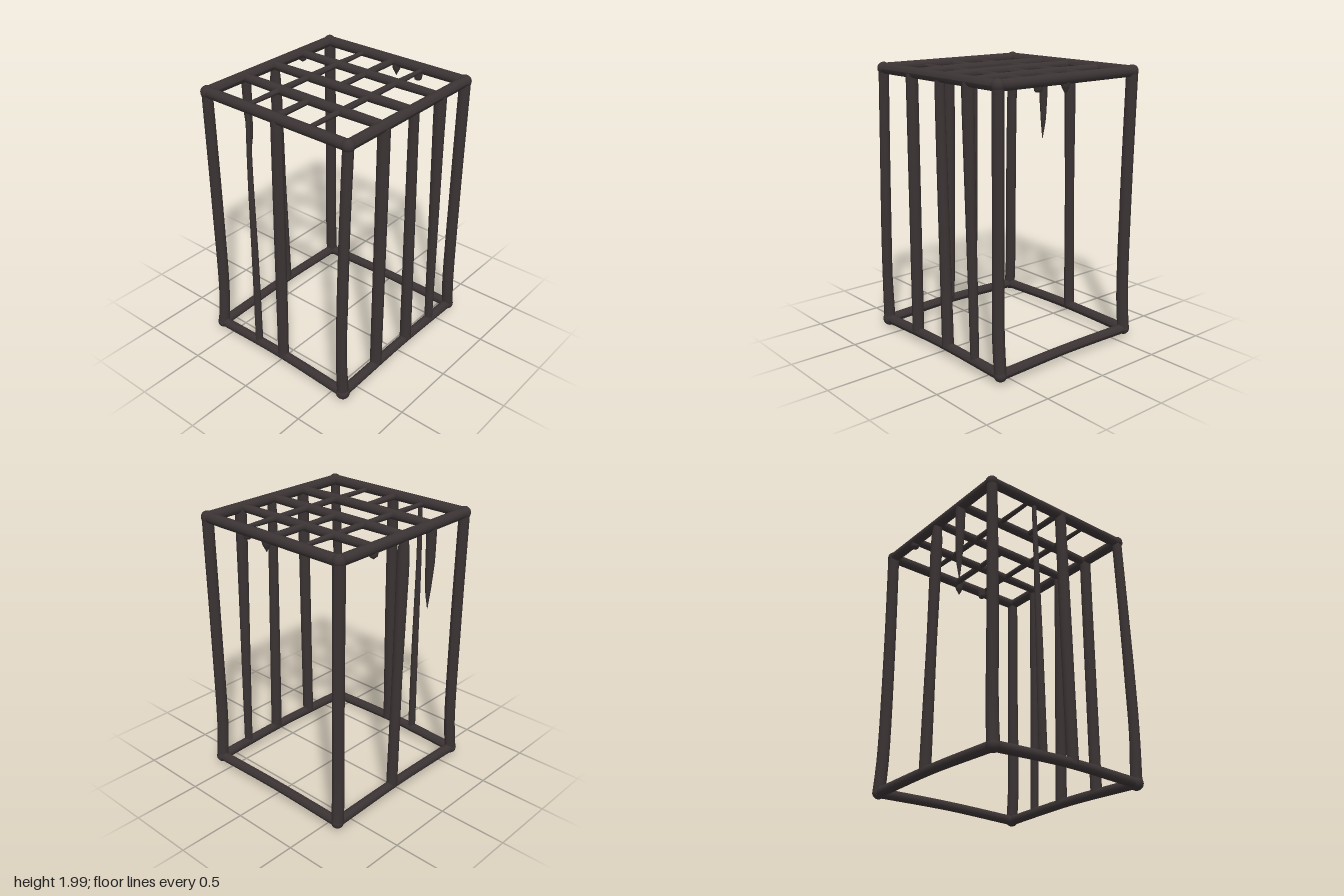
import * as THREE from 'three';

const darkIron = new THREE.MeshStandardMaterial({ color: 0x3b3334 });
darkIron.name = 'darkIron';

// Round bar through [x, y, z, radius] stations, thickness blended between stations
function bar(name, stations, segments = 16, sides = 12) {
  const curve = new THREE.CatmullRomCurve3(stations.map(([x, y, z]) => new THREE.Vector3(x, y, z)));
  const geo = new THREE.TubeGeometry(curve, segments, 1, sides, false);
  const pos = geo.attributes.position;
  const centre = new THREE.Vector3();
  const v = new THREE.Vector3();
  for (let i = 0; i <= segments; i++) {
    curve.getPointAt(i / segments, centre);
    const t = curve.getUtoTmapping(i / segments) * (stations.length - 1);
    const k = Math.min(Math.floor(t), stations.length - 2);
    const radius = THREE.MathUtils.lerp(stations[k][3], stations[k + 1][3], t - k);
    for (let j = 0; j <= sides; j++) {
      const n = i * (sides + 1) + j;
      v.fromBufferAttribute(pos, n).sub(centre).multiplyScalar(radius).add(centre);
      pos.setXYZ(n, v.x, v.y, v.z);
    }
  }
  geo.computeVertexNormals();
  const mesh = new THREE.Mesh(geo, darkIron);
  mesh.name = name;
  return mesh;
}

function knob(name, [x, y, z], radius) {
  const mesh = new THREE.Mesh(new THREE.SphereGeometry(radius, 14, 10), darkIron);
  mesh.position.set(x, y, z);
  mesh.name = name;
  return mesh;
}

export function createModel() {
  const model = new THREE.Group();
  model.name = 'cage';
  const add = (...parts) => model.add(...parts);

  // Corners in order: front left of view, front right, back right, back left
  const top = [[-0.61, 1.955, 0.6], [0.635, 1.953, 0.6], [0.635, 1.953, -0.6], [-0.61, 1.955, -0.6]];
  const base = [[-0.648, 0.057, 0.6], [0.65, 0.067, 0.595], [0.645, 0.067, -0.595], [-0.635, 0.06, -0.595]];

  // Rails around the top and the base
  for (let i = 0; i < 4; i++) {
    const a = top[i], b = top[(i + 1) % 4], c = base[i], d = base[(i + 1) % 4];
    add(bar('topRail', [[...a, 0.038], [...b, 0.038]]));
    const mid = [(c[0] + d[0]) / 2, 0.077, (c[2] + d[2]) / 2, 0.034];
    add(bar('baseRail', [[...c, 0.036], mid, [...d, 0.036]]));
    add(knob('topCorner', a, 0.045), knob('baseCorner', c, i === 0 ? 0.05 : 0.045));
  }

  // Corner posts, one of them bowed outward
  add(bar('bowedPost', [[...top[0], 0.036], [-0.635, 1.4, 0.597, 0.036], [-0.655, 0.8, 0.597, 0.038],
    [-0.663, 0.4, 0.597, 0.037], [...base[0], 0.042]], 24));
  add(bar('cornerPost', [[...top[1], 0.04], [0.631, 1.1, 0.595, 0.04], [0.631, 0.3, 0.595, 0.042], [...base[1], 0.042]]));
  add(bar('cornerPost', [[...top[2], 0.042], [0.63, 1.1, -0.588, 0.042], [0.63, 0.3, -0.588, 0.043], [...base[2], 0.044]]));
  add(bar('cornerPost', [[...top[3], 0.038], [-0.612, 1.1, -0.588, 0.04], [-0.615, 0.3, -0.588, 0.04], [...base[3], 0.042]]));

  // Front uprights: [top x, top radius, base x, base radius]
  for (const [tx, tr, bx, br] of [[-0.265, 0.042, -0.275, 0.042], [0.05, 0.034, 0.085, 0.042], [0.345, 0.042, 0.385, 0.03]])
    add(bar('frontUpright', [[tx, 1.95, 0.6, tr], [tx, 1.8, 0.6, tr], [bx, 0.08, 0.597, br]]));

  // Back upright, and a broken bar hanging from the back rail
  add(bar('backUpright', [[0.035, 1.95, -0.6, 0.03], [0.038, 1.78, -0.6, 0.043], [0.055, 1, -0.598, 0.036], [0.075, 0.08, -0.597, 0.04]]));
  add(bar('brokenBar', [[-0.25, 1.95, -0.6, 0.036], [-0.25, 1.7, -0.6, 0.032], [-0.245, 1.5, -0.597, 0.02], [-0.25, 1.36, -0.595, 0.002]]));

  // Side uprights
  add(bar('sideUpright', [[-0.61, 1.95, 0.025, 0.04], [-0.625, 1, 0.03, 0.042], [-0.642, 0.07, 0.035, 0.04]]));
  add(bar('sideUpright', [[-0.61, 1.95, -0.225, 0.016], [-0.622, 1.5, -0.223, 0.019], [-0.63, 0.8, -0.215, 0.025], [-0.64, 0.07, -0.21, 0.028]]));

  // Small drips under the top rails
  for (const [x, z, tip] of [[0.63, 0.03, 1.85], [0.33, -0.6, 1.88], [0.6, 0.24, 1.9]])
    add(bar('drip', [[x, 1.94, z, 0.034], [x, 1.9, z, 0.028], [x, tip, z, 0.002]], 8));

  // Roof bars running front to back
  for (const [x, r] of [[-0.265, 0.035], [0.023, 0.034], [0.32, 0.032]])
    add(bar('roofBar', [[x, 1.95, -0.6, r - 0.004], [x, 1.95, -0.26, r], [x, 1.95, 0.26, r], [x + 0.005, 1.95, 0.6, r - 0.004]]));

  // Thinner roof cross bars; the middle row has an open gap
  const cross = (z, x0, r0, x1, r1) => add(bar('roofCrossBar', [[x0, 1.95, z, r0], [x1, 1.95, z, r1]], 6));
  const xs = [-0.61, -0.265, 0.023, 0.32, 0.635];
  for (const z of [-0.26, 0, 0.26])
    for (let i = 0; i < 4; i++) {
      if (z === 0 && i === 1) continue;
      const outerR = z === 0 ? 0.025 : 0.013;
      cross(z, xs[i], i === 0 ? outerR : 0.024, xs[i + 1], i === 3 ? outerR : 0.02);
    }
  return model;
}
